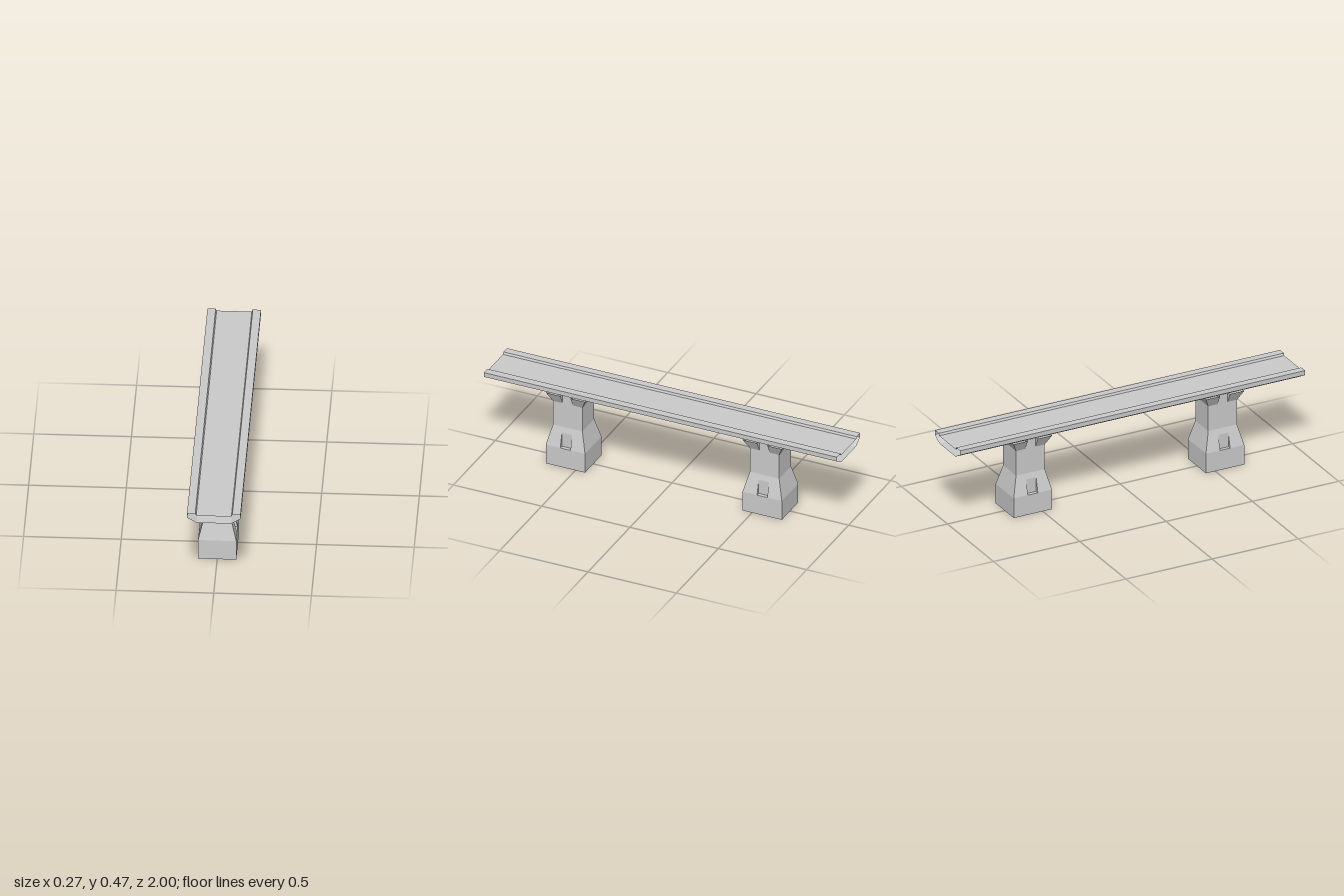
import * as THREE from 'three';

const material = new THREE.MeshStandardMaterial({
  color: 0xcccccc, flatShading: true, side: THREE.DoubleSide,
});

// Flat-sided skin through closed rings of points, open at both ends.
function loft(rings) {
  const positions = [];
  const triangle = new THREE.Triangle();
  const add = (a, b, c) => {
    triangle.set(a, b, c);
    if (triangle.getArea() < 1e-8) return; // collapsed where a notch closes
    for (const p of [a, b, c]) positions.push(p.x, p.y, p.z);
  };
  for (let r = 0; r + 1 < rings.length; r++) {
    const low = rings[r], high = rings[r + 1];
    low.forEach((a, i) => {
      const j = (i + 1) % low.length;
      add(a, low[j], high[j]);
      add(a, high[j], high[i]);
    });
  }
  const geometry = new THREE.BufferGeometry();
  geometry.setAttribute('position', new THREE.Float32BufferAttribute(positions, 3));
  geometry.computeVertexNormals();
  return geometry;
}

function addMesh(parent, name, geometry) {
  const mesh = new THREE.Mesh(geometry, material);
  mesh.name = name;
  parent.add(mesh);
  return mesh;
}

// Horizontal pier section with a notch in the middle of each x side.
function pierRing([y, hx, hz, notchX]) {
  const n = 0.029;
  const side = [[hx, hz], [hx, n], [notchX, n], [notchX, -n], [hx, -n], [hx, -hz]];
  const loop = [...side, ...side.map(([x, z]) => [-x, -z])];
  return loop.map(([x, z]) => new THREE.Vector3(x, y, z));
}

function createPier() {
  const pier = new THREE.Group();
  // height, half width, half depth, notch wall position
  const levels = [
    [0, 0.098, 0.111, 0.098],
    [0.111, 0.098, 0.111, 0.098],
    [0.111, 0.098, 0.111, 0.078],  // floor of the lower notch
    [0.191, 0.078, 0.091, 0.078],
    [0.222, 0.07, 0.083, 0.07],
    [0.362, 0.07, 0.083, 0.07],
    [0.418, 0.098, 0.111, 0.07],   // flared head, notched
  ];
  addMesh(pier, 'pierShell', loft(levels.map(pierRing)));

  // Underside plate inside the hollow foot
  const plate = addMesh(pier, 'footPlate', new THREE.PlaneGeometry(0.196, 0.222));
  plate.rotation.x = Math.PI / 2;
  plate.position.y = 0.08;
  return pier;
}

export function createModel() {
  const bridge = new THREE.Group();
  bridge.name = 'bridgeSection';

  // Hollow deck: tapered underside, kerbs and a sunken roadway
  const half = [[0.088, 0.42], [0.137, 0.449], [0.137, 0.474], [0.095, 0.474], [0.09, 0.462]];
  const profile = [...half, ...half.map(([x, y]) => [-x, y]).reverse()];
  const deckRings = [-1, 1].map((z) => profile.map(([x, y]) => new THREE.Vector3(x, y, z)));
  addMesh(bridge, 'deck', loft(deckRings));

  // Two matching piers
  for (const [name, z] of [['frontPier', 0.557], ['backPier', -0.557]]) {
    const pier = createPier();
    pier.name = name;
    pier.position.z = z;
    bridge.add(pier);
  }
  return bridge;
}
